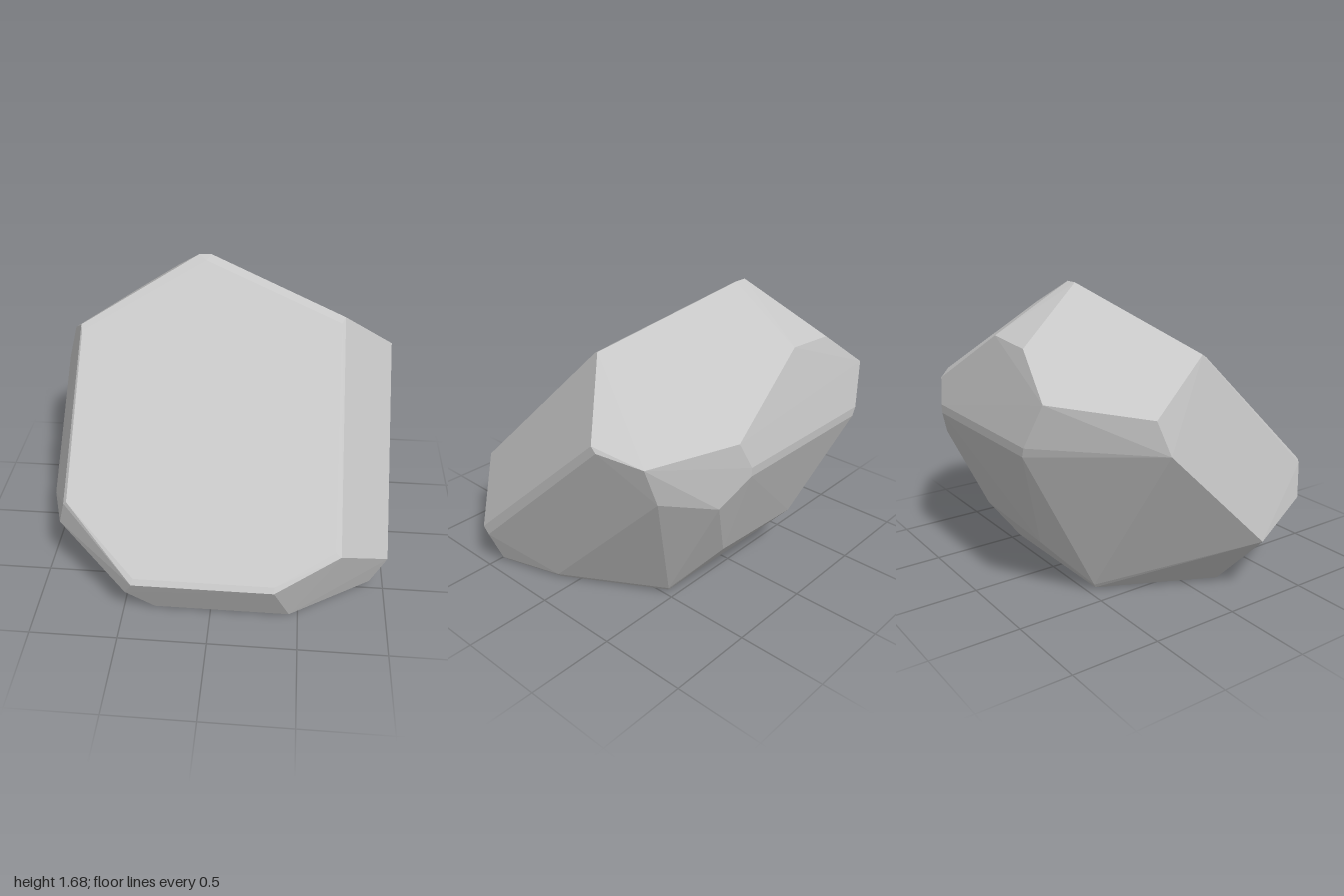
import * as THREE from 'three';
import { ConvexGeometry } from 'three/addons/geometries/ConvexGeometry.js';

// Corner points of each group of facets; their convex hull is the chipped stone.
const slantedFront = [
  [-0.12, 1.66, -0.38], [0.67, 1.42, -0.13], [0.68, 0.54, 0.784],
  [0.36, 0.4, 0.93], [-0.4, 0.4, 0.93], [-0.8, 0.67, 0.649], [-0.8, 1.35, -0.057],
];
// narrow bevel running round the slanted front
const frontRim = [
  [-0.16, 1.68, -0.42], [-0.09, 1.68, -0.42], [0.69, 1.44, -0.17], [0.71, 0.52, 0.8],
  [0.36, 0.37, 0.95], [-0.41, 0.37, 0.95], [-0.82, 0.65, 0.64], [-0.81, 1.37, -0.09],
];
// upper back facets, with a bevel along the lower edge
const upperBack = [
  [-0.34, 1.41, -0.84], [-0.05, 1.43, -0.84], [0.48, 1.11, -0.92], [-0.62, 1.2, -0.9],
  [0.42, 0.97, -0.955], [-0.52, 0.97, -0.955], [0.42, 0.92, -0.953], [-0.5, 0.92, -0.953],
];
// left side with a bevelled long edge and the small corner facet at its back
const leftSide = [
  [1, 1.13, -0.44], [1, 1.1, -0.47], [1, 0.26, 0.52], [1, 0.22, 0.48],
  [0.9, 1.05, -0.69], [0.82, 0.83, -0.7], [0.56, 0.76, -0.87],
];
// right side, with its pointed lower corner
const rightSide = [
  [-0.95, 1.13, -0.48], [-0.99, 0.95, -0.42], [-1, 0.35, 0.2],
  [-0.87, 0.47, 0.59], [-0.46, 0.25, 0.888],
];
// undercut at the back
const undercut = [[0.34, 0.35, -0.73], [-0.26, 0.32, -0.73]];
// base outline (x, z), bevelled where it meets the sides
const base = [
  [0.45, 0.77], [-0.32, 0.77], [-0.68, 0.2], [-0.39, -0.47], [0.49, -0.47], [0.81, 0.1], [0.92, 0.47],
];

export function createModel() {
  const group = new THREE.Group();
  group.name = 'rock';
  const stone = new THREE.MeshStandardMaterial({ color: 0xc6c6c6 });
  stone.name = 'stone grey';

  const corners = [...slantedFront, ...frontRim, ...upperBack, ...leftSide, ...rightSide, ...undercut];
  for (const [x, z] of base) {
    const lift = z < 0 ? 0.015 : 0;
    corners.push([x, 0.025 + lift, z], [x * 0.97, lift, z * 0.97]);
  }

  const boulder = new THREE.Mesh(
    new ConvexGeometry(corners.map((p) => new THREE.Vector3(...p))), stone);
  boulder.name = 'boulder';
  group.add(boulder);
  return group;
}
